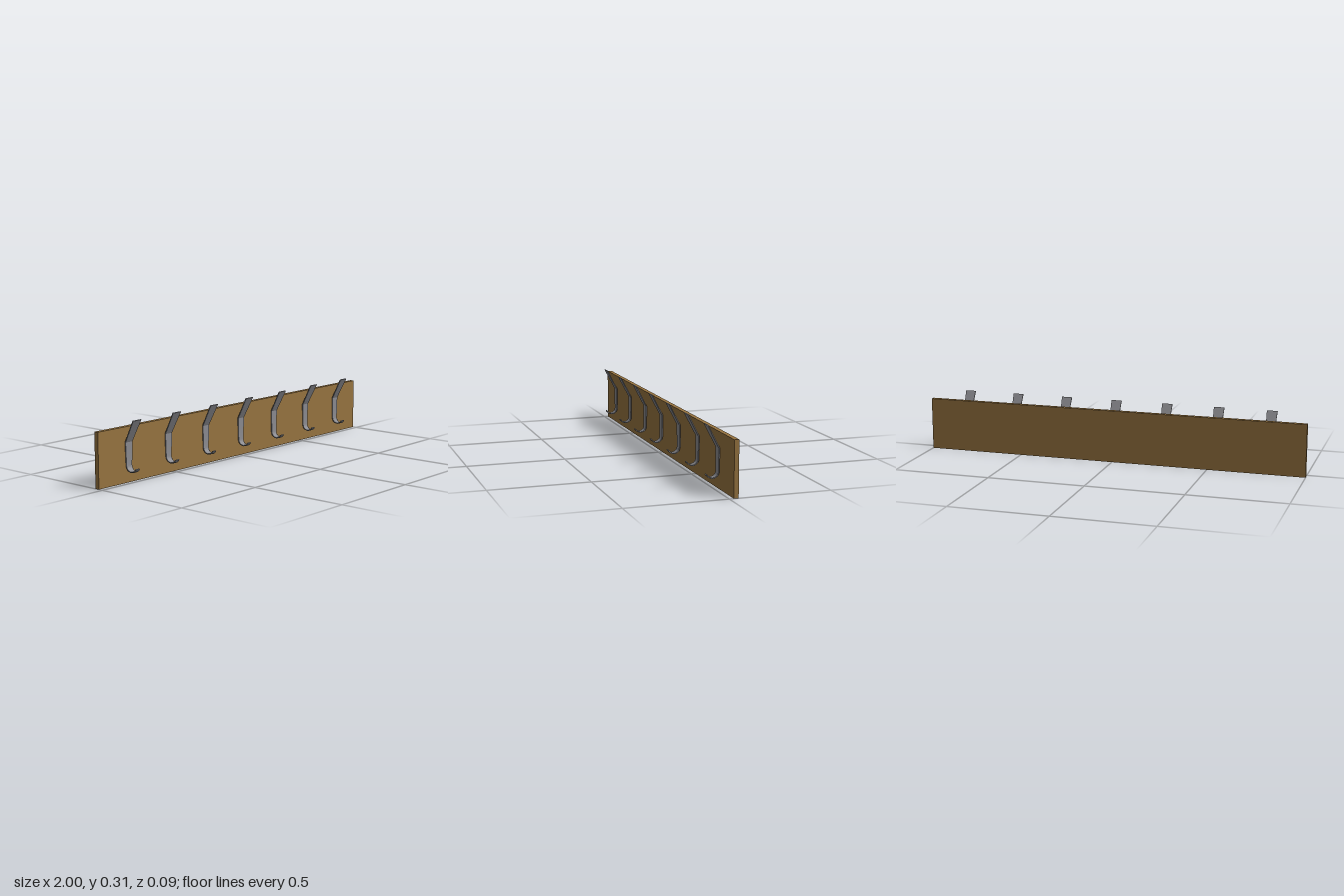
import * as THREE from 'three';
import { toCreasedNormals } from 'three/addons/utils/BufferGeometryUtils.js';

const THICK = 0.005;

// Centre line of the bent strip, from top tip to curled end: [z, y, width]
function hookPath() {
  const path = [[0.042, 0.307, 0.054], [-0.0152, 0.197, 0.045], [-0.0152, 0.14, 0.041]];
  const steps = 10;
  for (let i = 0; i <= steps; i++) {
    const a = Math.PI + (i / steps) * Math.PI * 0.865;
    path.push([0.0143 + 0.0295 * Math.cos(a), 0.085 + 0.0295 * Math.sin(a), 0.037 - 0.011 * (i / steps)]);
  }
  return path;
}

// Sweep a tapering rectangular section along the path, mitred at the bends
function hookGeometry() {
  const path = hookPath();
  const dir = (a, b) => new THREE.Vector2(b[0] - a[0], b[1] - a[1]).normalize();
  const rings = path.map(([z, y, w], i) => {
    const t0 = dir(path[Math.max(i - 1, 0)], path[Math.max(i, 1)]);
    const t1 = i < path.length - 1 ? dir(path[i], path[i + 1]) : t0;
    const t = t0.clone().add(t1).normalize();
    const h = THICK / 2 / t.dot(t0);
    const nz = -t.y * h, ny = t.x * h;
    return [[-w / 2, y + ny, z + nz], [w / 2, y + ny, z + nz], [w / 2, y - ny, z - nz], [-w / 2, y - ny, z - nz]];
  });
  const pos = [];
  const quad = (a, b, c, d) => pos.push(...a, ...b, ...c, ...a, ...c, ...d);
  for (let i = 0; i < rings.length - 1; i++) {
    for (let k = 0; k < 4; k++) {
      const n = (k + 1) % 4;
      quad(rings[i][k], rings[i + 1][k], rings[i + 1][n], rings[i][n]);
    }
  }
  quad(...rings[0]);
  quad(...rings[rings.length - 1].slice().reverse());
  const geo = new THREE.BufferGeometry();
  geo.setAttribute('position', new THREE.Float32BufferAttribute(pos, 3));
  return toCreasedNormals(geo, 0.4);
}

export function createModel() {
  const group = new THREE.Group();
  group.name = 'coatRack';
  const wood = new THREE.MeshStandardMaterial({ color: 0x977440 });
  wood.name = 'wood';
  const steel = new THREE.MeshStandardMaterial({ color: 0x8b8b90 });
  steel.name = 'steel';

  // Backing board
  const board = new THREE.Mesh(new THREE.BoxGeometry(2, 0.27, 0.023), wood);
  board.name = 'board';
  board.position.set(0, 0.135, -0.0333);
  group.add(board);

  // Row of seven hooks
  const geo = hookGeometry();
  for (let i = -3; i <= 3; i++) {
    const hook = new THREE.Mesh(geo, steel);
    hook.name = `hook${i + 4}`;
    hook.position.x = i * 0.27;
    group.add(hook);
  }
  return group;
}
